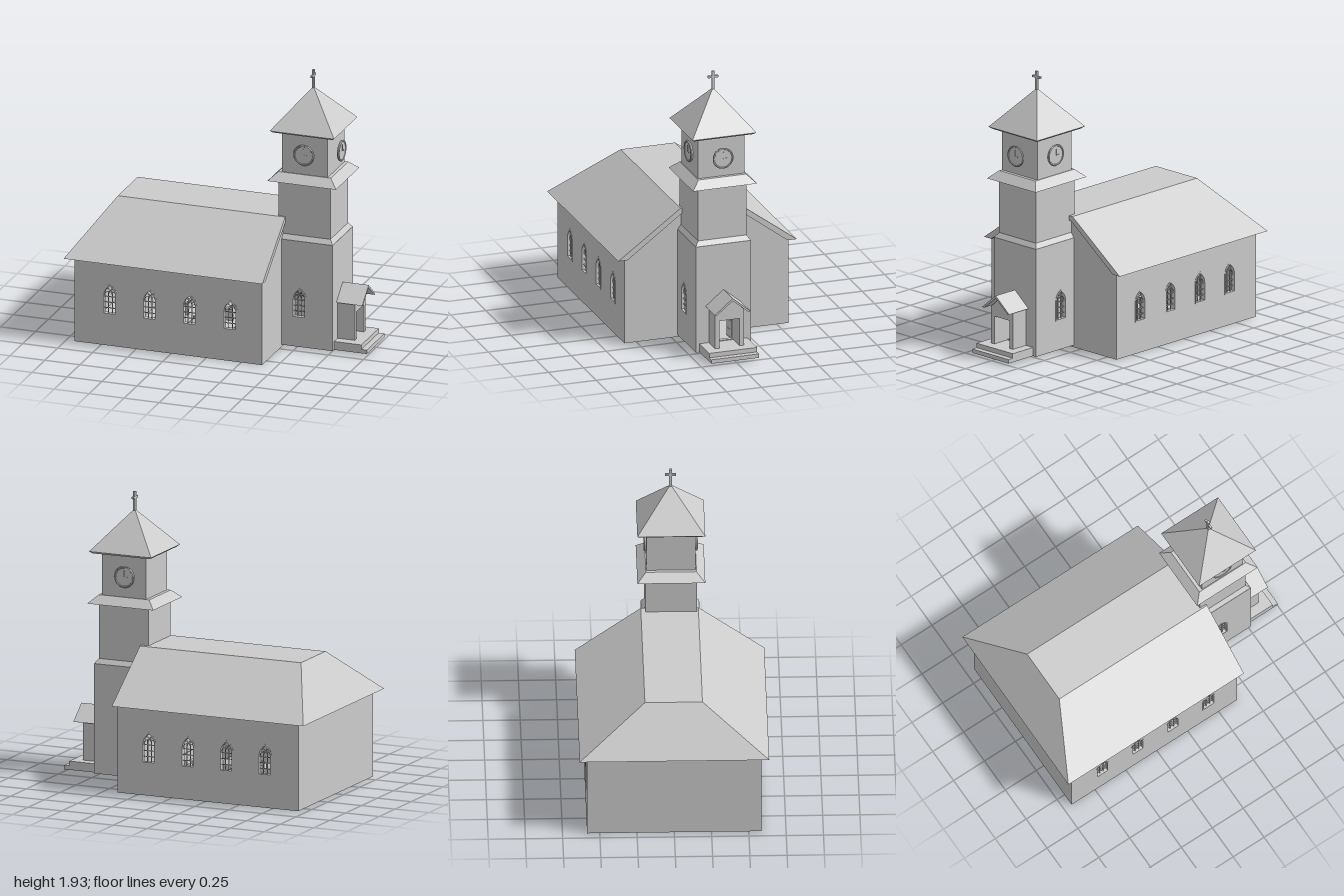
import * as THREE from 'three';

const mat = new THREE.MeshStandardMaterial({ color: 0xcccccc, flatShading: true, side: THREE.DoubleSide });

function add(parent, name, geometry, x = 0, y = 0, z = 0) {
  const m = new THREE.Mesh(geometry, mat);
  m.name = name;
  m.position.set(x, y, z);
  parent.add(m);
  return m;
}

// box given by its limits on each axis
const box = (p, name, x0, x1, y0, y1, z0, z1) =>
  add(p, name, new THREE.BoxGeometry(x1 - x0, y1 - y0, z1 - z0), (x0 + x1) / 2, (y0 + y1) / 2, (z0 + z1) / 2);

// flat surface made of four-cornered faces
function faces(quads) {
  const pos = quads.flatMap(([a, b, c, d]) => [a, b, c, a, c, d]).flat();
  const g = new THREE.BufferGeometry();
  g.setAttribute('position', new THREE.Float32BufferAttribute(pos, 3));
  g.computeVertexNormals();
  return g;
}

// block between two horizontal rectangles [x0, x1, z0, z1]
function frustum(p, name, y0, r0, y1, r1) {
  const ring = (y, [x0, x1, z0, z1]) => [[x0, y, z1], [x1, y, z1], [x1, y, z0], [x0, y, z0]];
  const a = ring(y0, r0), b = ring(y1, r1);
  const quads = a.map((v, i) => [v, a[(i + 1) % 4], b[(i + 1) % 4], b[i]]);
  return add(p, name, faces([...quads, [...a].reverse(), b]));
}

const polygon = pts => new THREE.Shape(pts.map(([x, y]) => new THREE.Vector2(x, y)));
const extrude = (shape, depth) => new THREE.ExtrudeGeometry(shape, { depth, bevelEnabled: false, curveSegments: 6 });
const rect = (x0, x1, y0, y1) => polygon([[x0, y0], [x1, y0], [x1, y1], [x0, y1]]);

// pointed arch outline, half width w
function arch(cx, w, y0, top) {
  const s = new THREE.Shape(), spring = top - 0.07;
  s.moveTo(cx - w, y0);
  s.lineTo(cx + w, y0);
  s.lineTo(cx + w, spring);
  s.quadraticCurveTo(cx + w, spring + 0.04, cx, top);
  s.quadraticCurveTo(cx - w, spring + 0.04, cx - w, spring);
  s.lineTo(cx - w, y0);
  return s;
}

// framed lancet window with glazing bars, centred on the wall plane z
function windowAt(p, name, x, z) {
  const g = new THREE.Group();
  g.name = name;
  const frame = arch(0, 0.05, 0.22, 0.437);
  frame.holes.push(arch(0, 0.041, 0.229, 0.424));
  add(g, 'windowFrame', extrude(frame, 0.034), 0, 0, -0.017);
  for (const s of [-1, 1]) {
    box(g, 'mullion', s * 0.014 - 0.002, s * 0.014 + 0.002, 0.225, 0.38, -0.004, 0.004);
    for (const [x0, x1, y1] of [[0.014, -0.026, 0.402], [-0.014, 0.02, 0.41], [0.041, 0, 0.385]]) {
      const curve = new THREE.QuadraticBezierCurve3(new THREE.Vector3(s * x0, 0.35, 0),
        new THREE.Vector3(s * x0, 0.38, 0), new THREE.Vector3(s * x1, y1, 0));
      add(g, 'tracery', new THREE.TubeGeometry(curve, 5, 0.002, 4));
    }
  }
  for (const y of [0.265, 0.305, 0.345]) box(g, 'glazingBar', -0.042, 0.042, y - 0.002, y + 0.002, -0.004, 0.004);
  g.position.set(x, 0, z);
  p.add(g);
}

function nave() {
  const g = new THREE.Group();
  g.name = 'nave';
  const xs = [-0.69, -0.405, -0.12, 0.17];
  for (const s of [-1, 1]) {
    const wall = rect(-0.94, 0.4, 0, 0.6);
    for (const x of xs) {
      wall.holes.push(arch(x, 0.047, 0.223, 0.432));
      windowAt(g, 'naveWindow', x, s * 0.57);
    }
    add(g, 'sideWall', extrude(wall, 0.03), 0, 0, s * 0.57 - 0.015);
  }
  box(g, 'endWall', -0.94, -0.91, 0, 0.6, -0.56, 0.56);
  const gable = polygon([[-0.584, 0], [0.584, 0], [0.584, 0.6], [0.19, 0.9], [-0.19, 0.9], [-0.584, 0.6]]);
  gable.holes.push(rect(-0.07, 0.07, 0.03, 0.27));
  add(g, 'gableWall', extrude(gable, 0.028), 0.372).rotation.y = Math.PI / 2;
  box(g, 'floor', -0.93, 0.39, 0.008, 0.02, -0.575, 0.575);

  // roof shell: two slopes, flat crown, hipped end, and its underside
  const e = 0.6, t = 0.925, q = [];
  for (const s of [-1, 1]) {
    const o = [[-1, e, s * 0.636], [0.42, e, s * 0.636], [0.42, t, s * 0.193], [-0.775, t, s * 0.193]];
    const i = [[-0.93, e, s * 0.57], [0.42, e, s * 0.57], [0.42, 0.89, s * 0.18], [-0.75, 0.89, s * 0.18]];
    q.push(o, i, [o[0], o[1], i[1], i[0]], [o[1], o[2], i[2], i[1]]);
  }
  const across = (x0, y0, z0, x1, y1, z1) => [[x0, y0, -z0], [x0, y0, z0], [x1, y1, z1], [x1, y1, -z1]];
  q.push(across(-0.775, t, 0.193, 0.42, t, 0.193), across(-1, e, 0.636, -0.775, t, 0.193),
    across(-0.75, 0.89, 0.18, 0.42, 0.89, 0.18), across(-0.93, e, 0.57, -0.75, 0.89, 0.18),
    across(-1, e, 0.636, -0.93, e, 0.57), across(0.42, 0.89, 0.18, 0.42, t, 0.193));
  add(g, 'naveRoof', faces(q));

  // furnishings
  for (const x of [-0.4, -0.245, -0.085, 0.075, 0.235]) {
    for (const s of [-1, 1]) {
      for (const z of [0.1, 0.3]) box(g, 'pewEnd', x - 0.025, x + 0.025, 0.003, 0.1, s * z - 0.006, s * z + 0.006);
      box(g, 'pewSeat', x - 0.025, x + 0.025, 0.06, 0.07, s * 0.2 - 0.1, s * 0.2 + 0.1);
      box(g, 'pewBack', x + 0.018, x + 0.025, 0.06, 0.13, s * 0.2 - 0.1, s * 0.2 + 0.1);
    }
  }
  box(g, 'chancelStep', -0.91, -0.55, 0.02, 0.05, -0.555, 0.555);
  box(g, 'altar', -0.76, -0.62, 0.05, 0.45, -0.12, 0.12);
  return g;
}

function clock(p, x, y, z, angle) {
  const g = new THREE.Group();
  g.name = 'clock';
  add(g, 'clockFace', new THREE.CylinderGeometry(0.07, 0.07, 0.012, 32), 0, 0, 0).rotation.x = Math.PI / 2;
  add(g, 'clockRim', new THREE.TorusGeometry(0.067, 0.007, 6, 32), 0, 0, 0.004);
  box(g, 'minuteHand', -0.003, 0.003, 0, 0.045, 0.006, 0.01);
  box(g, 'hourHand', 0, 0.025, -0.003, 0.003, 0.006, 0.01);
  g.position.set(x, y, z);
  g.rotation.y = angle;
  p.add(g);
}

function tower() {
  const g = new THREE.Group();
  g.name = 'tower';
  for (const s of [-1, 1]) {
    const wall = rect(0.4, 0.765, 0.015, 0.77);
    wall.holes.push(arch(0.525, 0.047, 0.223, 0.432));
    add(g, 'towerSideWall', extrude(wall, 0.03), 0, 0, s * 0.182 - 0.015);
    windowAt(g, 'towerWindow', 0.525, s * 0.183);
    box(g, 'windowPane', 0.47, 0.58, 0.21, 0.44, s * 0.165 - 0.002, s * 0.165 + 0.002);
  }
  const front = rect(-0.17, 0.17, 0.015, 0.77);
  front.holes.push(rect(-0.07, 0.07, 0.08, 0.27));
  add(g, 'towerFrontWall', extrude(front, 0.03), 0.735).rotation.y = Math.PI / 2;
  box(g, 'towerFloor', 0.4, 0.74, 0.02, 0.075, -0.17, 0.17);
  // stages of the tower from the shoulder up
  frustum(g, 'shoulder', 0.768, [0.4, 0.765, -0.197, 0.197], 0.803, [0.37, 0.74, -0.172, 0.172]);
  box(g, 'middleStage', 0.37, 0.74, 0.8, 1.19, -0.172, 0.172);
  frustum(g, 'skirtRoof', 1.185, [0.31, 0.8, -0.228, 0.228], 1.24, [0.367, 0.742, -0.17, 0.17]);
  box(g, 'belfry', 0.392, 0.718, 1.23, 1.54, -0.165, 0.165);
  frustum(g, 'spireEaves', 1.53, [0.345, 0.767, -0.21, 0.21], 1.545, [0.326, 0.786, -0.228, 0.228]);
  frustum(g, 'spire', 1.545, [0.326, 0.786, -0.228, 0.228], 1.812, [0.552, 0.558, -0.003, 0.003]);
  box(g, 'crossPost', 0.547, 0.563, 1.79, 1.935, -0.009, 0.009);
  box(g, 'crossArm', 0.548, 0.562, 1.887, 1.902, -0.036, 0.036);
  clock(g, 0.55, 1.38, 0.171, 0);
  clock(g, 0.55, 1.38, -0.171, Math.PI);
  clock(g, 0.755, 1.38, 0, Math.PI / 2);
  return g;
}

function porch() {
  const g = new THREE.Group();
  g.name = 'porch';
  box(g, 'lowerStep', 0.765, 1, 0.015, 0.043, -0.17, 0.17);
  box(g, 'upperStep', 0.765, 0.96, 0.043, 0.075, -0.17, 0.17);
  for (const s of [-1, 1]) {
    box(g, 'porchWall', 0.765, 0.89, 0.075, 0.335, s * 0.087 - 0.016, s * 0.087 + 0.016);
    // panelled door leaf, swung inward
    const leaf = new THREE.Group();
    leaf.name = 'doorLeaf';
    box(leaf, 'doorBoard', -0.065, 0, 0.08, 0.27, -0.004, 0.004);
    for (const y of [0.1, 0.16, 0.22]) box(leaf, 'doorPanel', -0.055, -0.01, y, y + 0.04, -0.007, 0.007);
    leaf.position.set(0.745, 0, s * 0.068);
    leaf.rotation.y = -s * (s > 0 ? 0.75 : 0.2);
    g.add(leaf);
  }
  box(g, 'lintel', 0.765, 0.89, 0.27, 0.335, -0.1, 0.1);
  add(g, 'porchGable', extrude(polygon([[-0.1, 0.335], [0.1, 0.335], [0, 0.425]]), 0.125), 0.765).rotation.y = Math.PI / 2;
  const roof = polygon([[-0.127, 0.338], [-0.112, 0.334], [0, 0.425], [0.112, 0.334], [0.127, 0.338], [0, 0.443]]);
  add(g, 'porchRoof', extrude(roof, 0.185), 0.765).rotation.y = Math.PI / 2;
  return g;
}

export function createModel() {
  const church = new THREE.Group();
  church.name = 'church';
  const front = [tower(), porch()];
  for (const part of front) part.position.z = 0.01;
  church.add(nave(), ...front);
  return church;
}
